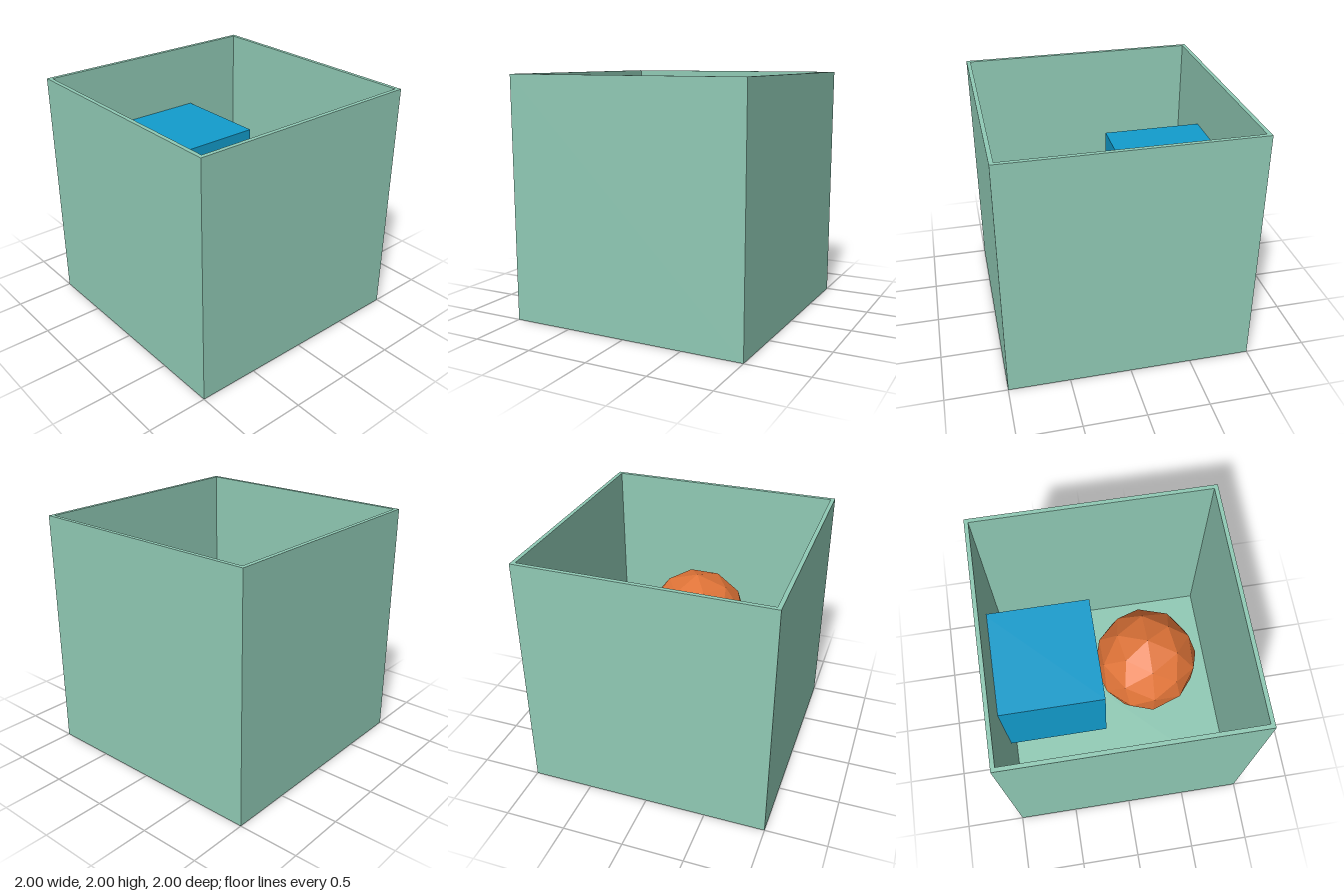
import * as THREE from 'three';

const HALF = 0.435; // half size shared by the cube and the ball
const MID_Y = 1.015; // height of both centres

function part(name, geometry, color, flatShading = false) {
  const material = new THREE.MeshStandardMaterial({ color, flatShading });
  const mesh = new THREE.Mesh(geometry, material);
  mesh.name = name;
  return mesh;
}

function square(path, h) {
  path.moveTo(-h, -h);
  path.lineTo(h, -h);
  path.lineTo(h, h);
  path.lineTo(-h, h);
  path.closePath();
  return path;
}

export function createModel() {
  const model = new THREE.Group();
  model.name = 'openBoxWithShapes';
  const green = 0x90cab5;
  const inner = 0.967;
  const floorHeight = 0.035;

  // Four walls as one square ring, open at the top
  const ring = square(new THREE.Shape(), 1);
  ring.holes.push(square(new THREE.Path(), inner));
  const wallGeometry = new THREE.ExtrudeGeometry(ring, { depth: 2, bevelEnabled: false });
  wallGeometry.rotateX(-Math.PI / 2);
  model.add(part('walls', wallGeometry, green));

  // Floor plate closing the ring
  const floor = part('floor', new THREE.BoxGeometry(inner * 2, floorHeight, inner * 2), green);
  floor.position.y = floorHeight / 2;
  model.add(floor);

  // Cube set slightly into the back wall
  const cube = part('cube', new THREE.BoxGeometry(HALF * 2, HALF * 2, HALF * 2), 0x129ccd);
  cube.position.set(0, MID_Y, -0.555);
  model.add(cube);

  // Faceted ball with a corner pointing forward
  const ball = part('ball', new THREE.IcosahedronGeometry(HALF, 1), 0xe07438, true);
  ball.rotation.y = -Math.atan((1 + Math.sqrt(5)) / 2);
  ball.position.set(0, MID_Y, 0.29);
  model.add(ball);

  return model;
}
